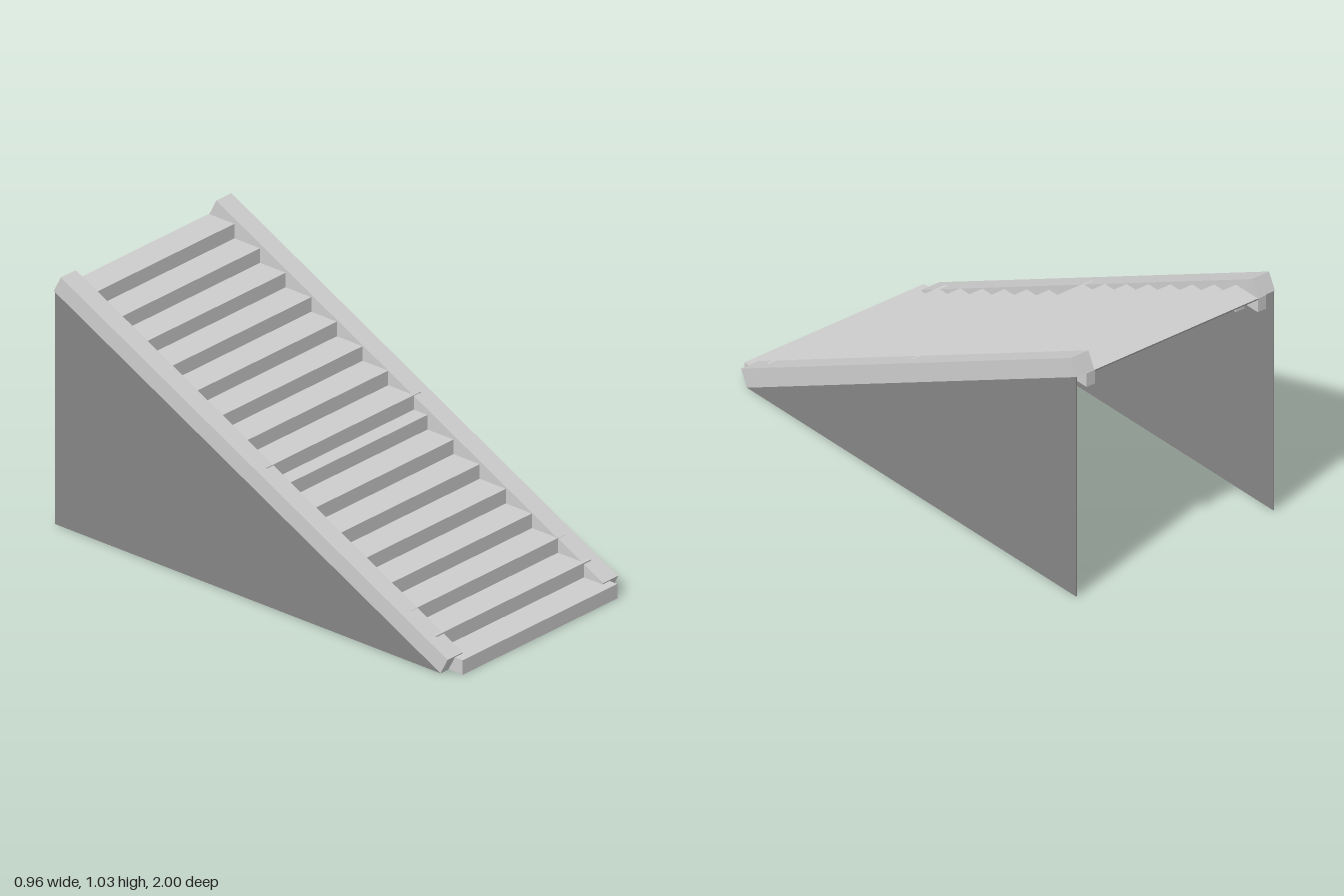
import * as THREE from 'three';

export function createModel() {
  const group = new THREE.Group();
  group.name = 'staircase';
  const stone = new THREE.MeshStandardMaterial({ color: 0xcccccc });
  stone.name = 'light stone';
  const dark = new THREE.MeshStandardMaterial({ color: 0x858585 });
  dark.name = 'dark stone';

  // Extrudes a side profile of [z, y] points across x, centred on x
  function slab(name, profile, width, x, material) {
    const shape = new THREE.Shape(profile.map(([z, y]) => new THREE.Vector2(z, y)));
    const geometry = new THREE.ExtrudeGeometry(shape, { depth: width, bevelEnabled: false });
    geometry.translate(0, 0, -width / 2).rotateY(-Math.PI / 2);
    const mesh = new THREE.Mesh(geometry, material);
    mesh.name = name;
    mesh.position.x = x;
    group.add(mesh);
  }

  // Riser positions: two flights of eight steps, the lower one ending in a short tread
  const count = 16, rise = 0.965 / count;
  const risers = [];
  for (let i = 0; i < 8; i++) risers.push(1 - i * 0.13);
  for (let i = 0; i <= 8; i++) risers.push(0.022 - i * 0.1277);

  // Stepped body with a sloping bottom
  const steps = [[0.93, 0], [1, 0]];
  for (let i = 0; i < count; i++) {
    steps.push([risers[i], (i + 1) * rise]);
    if (i < count - 1) steps.push([risers[i + 1], (i + 1) * rise]);
  }
  steps.push([-1, 0.965]);
  slab('steps', steps, 0.79, 0, stone);

  // Sloping underside panel
  slab('underside', [[0.93, 0], [-1, 0.964], [-1, 0.959], [0.921, 0]], 0.79, 0, dark);

  for (const side of [-1, 1]) {
    // Block ends of the steps, running into the stringers
    for (let i = 0; i < count; i++) {
      const depth = risers[i] - risers[i + 1];
      const end = new THREE.Mesh(new THREE.BoxGeometry(0.04, rise, depth), stone);
      end.name = 'stepEnd';
      end.position.set(side * 0.415, (i + 0.5) * rise, risers[i] - depth / 2);
      group.add(end);
    }
    // Sloping stringer
    slab('stringer', [[0.965, 0.067], [0.93, 0], [-0.997, 0.965], [-0.962, 1.032]],
      0.085, side * 0.4375, stone);
    // Triangular side wall
    slab('sideWall', [[0.93, 0], [-0.992, 0.962], [-0.992, 0]], 0.004, side * 0.478, dark);
  }
  return group;
}
